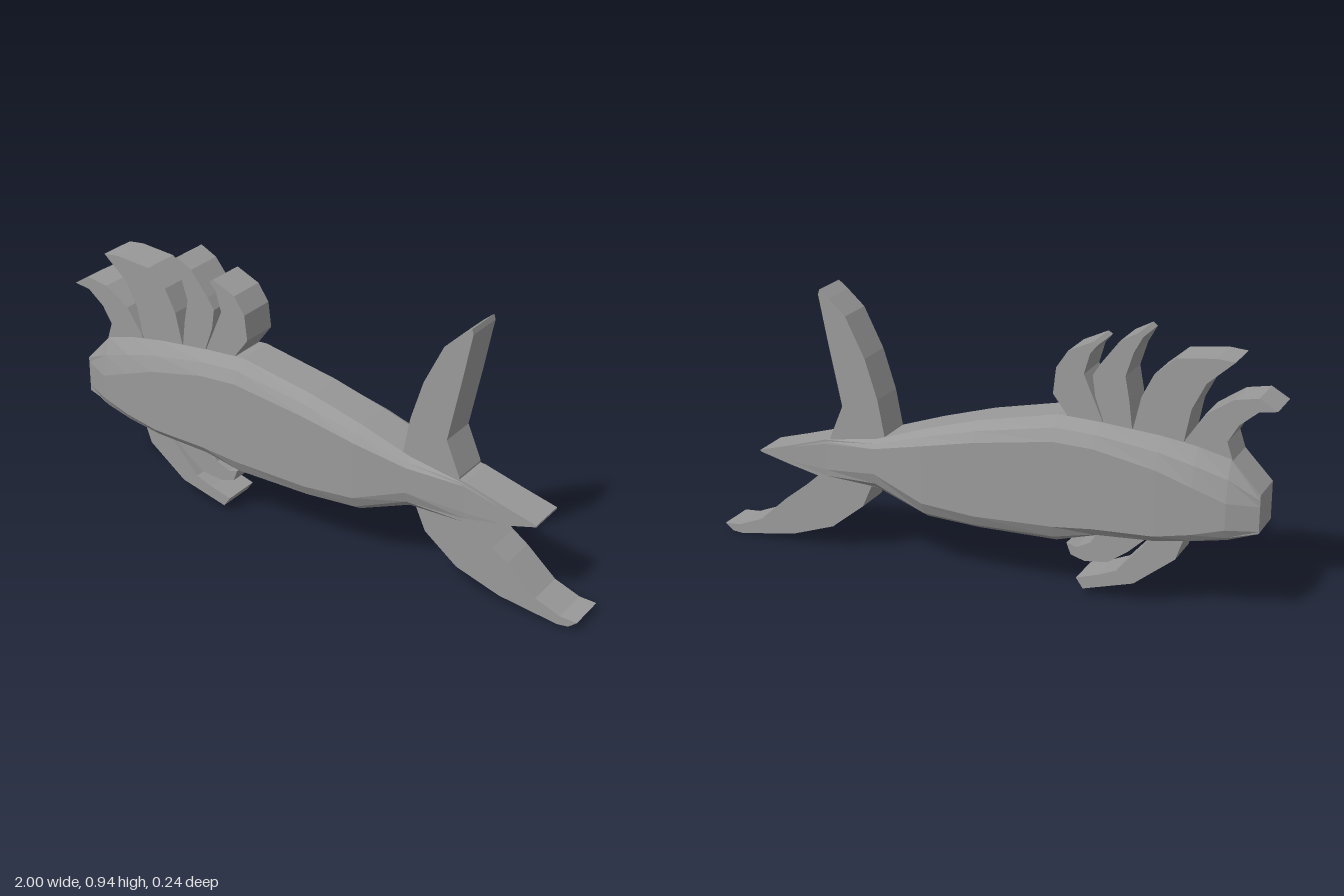
import * as THREE from 'three';

const HALF = 0.07; // half thickness of every fin

export function createModel() {
  const model = new THREE.Group();
  model.name = 'finnedCreature';
  const grey = new THREE.MeshStandardMaterial({ color: 0x999999 });
  grey.name = 'plain grey';

  // Flat plate of constant thickness, cut to an outline in the xy plane
  function addPlate(name, outline) {
    const shape = new THREE.Shape(outline.map(([x, y]) => new THREE.Vector2(x, y)));
    const geometry = new THREE.ExtrudeGeometry(shape, { depth: 2 * HALF, bevelEnabled: false });
    geometry.translate(0, 0, -HALF);
    const mesh = new THREE.Mesh(geometry, grey);
    mesh.name = name;
    model.add(mesh);
  }

  // Body: [x, top, bottom, shoulder z, side z, upper side y, lower side y]
  const stations = [
    [-0.96, 0.45, 0.32, 0.07, 0.07, 0.41, 0.34],
    [-0.86, 0.555, 0.283, 0.095, 0.11, 0.42, 0.33],
    [-0.75, 0.582, 0.26, 0.103, 0.12, 0.46, 0.30],
    [-0.63, 0.60, 0.24, 0.103, 0.122, 0.50, 0.275],
    [-0.42, 0.617, 0.225, 0.103, 0.122, 0.54, 0.265],
    [-0.28, 0.623, 0.185, 0.103, 0.122, 0.545, 0.25],
    [0.00, 0.563, 0.182, 0.103, 0.122, 0.50, 0.24],
    [0.19, 0.507, 0.192, 0.103, 0.122, 0.46, 0.255],
    [0.38, 0.442, 0.265, 0.09, 0.102, 0.415, 0.325],
    [0.58, 0.41, 0.265, 0.07, 0.072, 0.395, 0.30],
    [0.72, 0.368, 0.297, 0.07, 0.07, 0.355, 0.31],
    [0.84, 0.334, 0.328, 0.07, 0.07, 0.333, 0.329],
  ];
  const rings = stations.map(([x, top, bottom, shoulder, side, upper, lower]) => {
    const half = [
      [top, HALF],
      [top - (top - upper) * 0.45, shoulder],
      [upper, side],
      [lower, side],
      [bottom + (lower - bottom) * 0.35, shoulder],
      [bottom, HALF],
    ];
    const back = half.map(([y, z]) => [y, -z]).reverse();
    return [...half, ...back].map(([y, z]) => [x, y, z]);
  });
  const corners = [];
  const count = rings[0].length;
  for (let i = 0; i < rings.length - 1; i++) {
    for (let j = 0; j < count; j++) {
      const k = (j + 1) % count;
      const a = rings[i][j], b = rings[i][k], c = rings[i + 1][k], d = rings[i + 1][j];
      corners.push(...a, ...b, ...c, ...a, ...c, ...d);
    }
  }
  // Close the snout and the tail tip
  const first = rings[0], last = rings[rings.length - 1];
  for (let j = 1; j < count - 1; j++) {
    corners.push(...first[0], ...first[j + 1], ...first[j]);
    corners.push(...last[0], ...last[j], ...last[j + 1]);
  }
  const bodyGeometry = new THREE.BufferGeometry();
  bodyGeometry.setAttribute('position', new THREE.Float32BufferAttribute(corners, 3));
  bodyGeometry.computeVertexNormals();
  const body = new THREE.Mesh(bodyGeometry, grey);
  body.name = 'body';
  model.add(body);

  // Crest on the back, from the head rearward
  addPlate('crestFin1', [[-1, 0.73], [-0.94, 0.72], [-0.88, 0.67], [-0.845, 0.61], [-0.865, 0.55],
    [-0.7, 0.56], [-0.71, 0.6], [-0.77, 0.69], [-0.86, 0.75], [-0.94, 0.765]]);
  addPlate('crestFin2', [[-0.86, 0.87], [-0.77, 0.79], [-0.725, 0.7], [-0.7, 0.57], [-0.53, 0.59],
    [-0.56, 0.72], [-0.6, 0.8], [-0.67, 0.86], [-0.8, 0.875]]);
  addPlate('crestFin3', [[-0.56, 0.915], [-0.53, 0.86], [-0.505, 0.78], [-0.52, 0.7], [-0.535, 0.58],
    [-0.445, 0.59], [-0.405, 0.7], [-0.395, 0.77], [-0.42, 0.81], [-0.485, 0.895], [-0.545, 0.927]]);
  addPlate('crestFin4', [[-0.41, 0.87], [-0.385, 0.84], [-0.365, 0.77], [-0.4, 0.69], [-0.44, 0.6],
    [-0.31, 0.6], [-0.31, 0.625], [-0.26, 0.69], [-0.27, 0.78], [-0.31, 0.84], [-0.395, 0.88]]);

  // Tail blades
  addPlate('upperTailFin', [[0.35, 0.43], [0.56, 0.4], [0.56, 0.42], [0.51, 0.54], [0.555, 0.75],
    [0.59, 0.925], [0.585, 0.943], [0.55, 0.915], [0.49, 0.86], [0.42, 0.72], [0.375, 0.58], [0.35, 0.45]]);
  addPlate('lowerTailFin', [[0.4, 0.275], [0.44, 0.185], [0.56, 0.09], [0.72, 0.035], [0.93, 0.002],
    [0.97, 0.006], [1, 0.03], [0.94, 0.034], [0.85, 0.07], [0.745, 0.165], [0.69, 0.205], [0.61, 0.275]]);

  // Small limbs under the chest
  addPlate('frontLimb', [[-0.72, 0.27], [-0.69, 0.185], [-0.55, 0.075], [-0.375, 0.025], [-0.35, 0.06],
    [-0.43, 0.085], [-0.49, 0.11], [-0.6, 0.235], [-0.6, 0.26]]);
  addPlate('rearLimb', [[-0.6, 0.25], [-0.53, 0.185], [-0.46, 0.135], [-0.38, 0.125], [-0.33, 0.14],
    [-0.315, 0.18], [-0.35, 0.17], [-0.4, 0.195], [-0.43, 0.25]]);

  return model;
}
